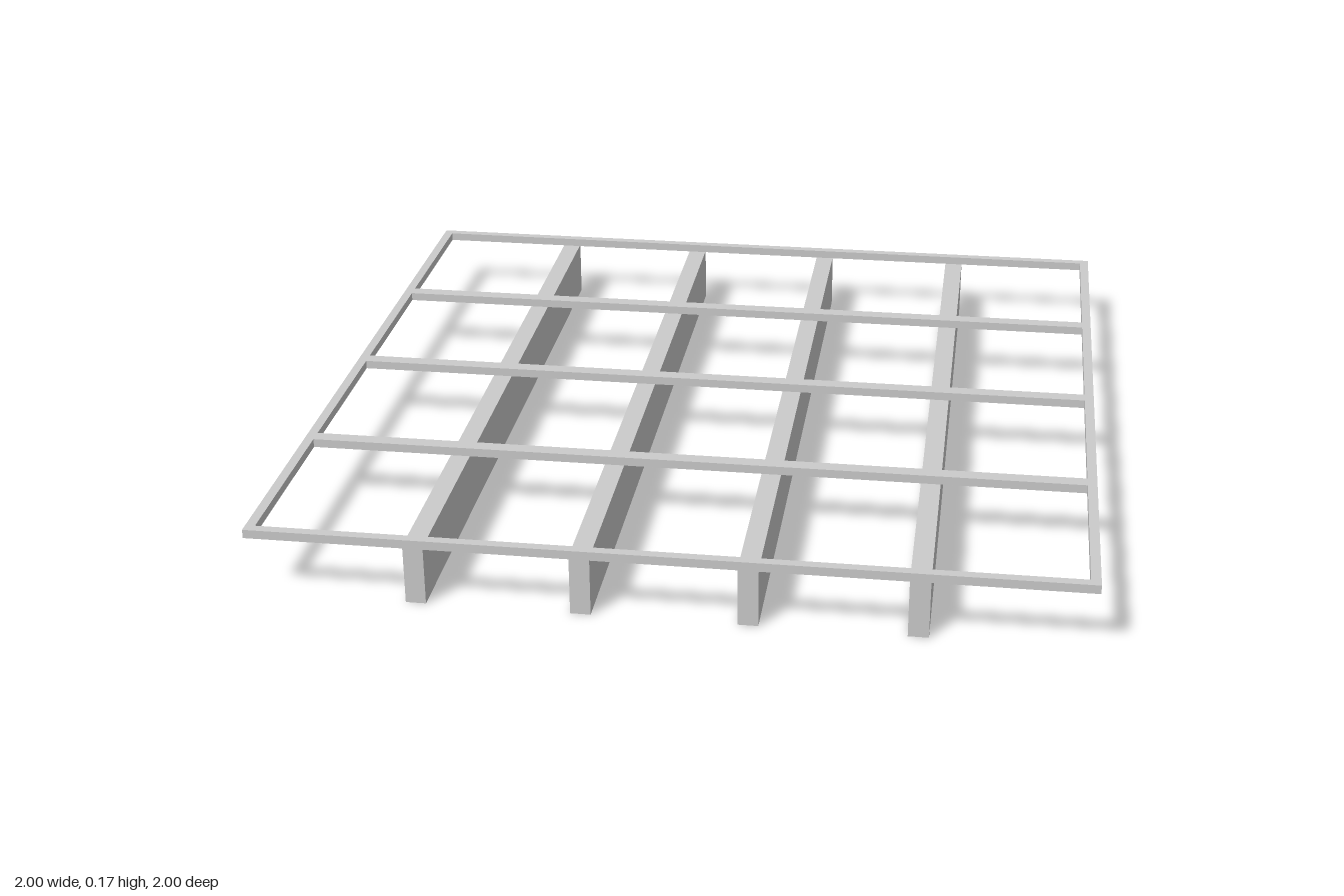
import * as THREE from 'three';

export function createModel() {
  const group = new THREE.Group();
  const material = new THREE.MeshStandardMaterial({ color: 0xcccccc, flatShading: true });

  const addBeam = (name, width, height, depth, x, y, z) => {
    const mesh = new THREE.Mesh(new THREE.BoxGeometry(width, height, depth), material);
    mesh.name = name;
    mesh.position.set(x, y, z);
    group.add(mesh);
  };

  const top = 0.174;        // overall height
  const joistHeight = 0.152;
  const railHeight = top - joistHeight;
  const railY = joistHeight + railHeight / 2;
  const edge = 0.024;       // width of the outer frame
  const inner = 2 - 2 * edge;

  // Deep joists running front to back
  for (let i = 0; i < 4; i++) {
    addBeam('joist', 0.049, joistHeight, 1.974, (i - 1.5) * 0.396, joistHeight / 2, 0);
  }

  // Outer frame
  for (const side of [-1, 1]) {
    const offset = side * (1 - edge / 2);
    addBeam(side > 0 ? 'frontFrameRail' : 'backFrameRail', 2, railHeight, edge, 0, railY, offset);
    addBeam(side > 0 ? 'leftFrameRail' : 'rightFrameRail', edge, railHeight, inner, offset, railY, 0);
  }

  // Cross rails lying on the joists, spaced from the back edge
  for (let i = 0; i < 3; i++) {
    addBeam('crossRail', inner, railHeight, 0.037, 0, railY, -0.497 + i * 0.493);
  }

  return group;
}
